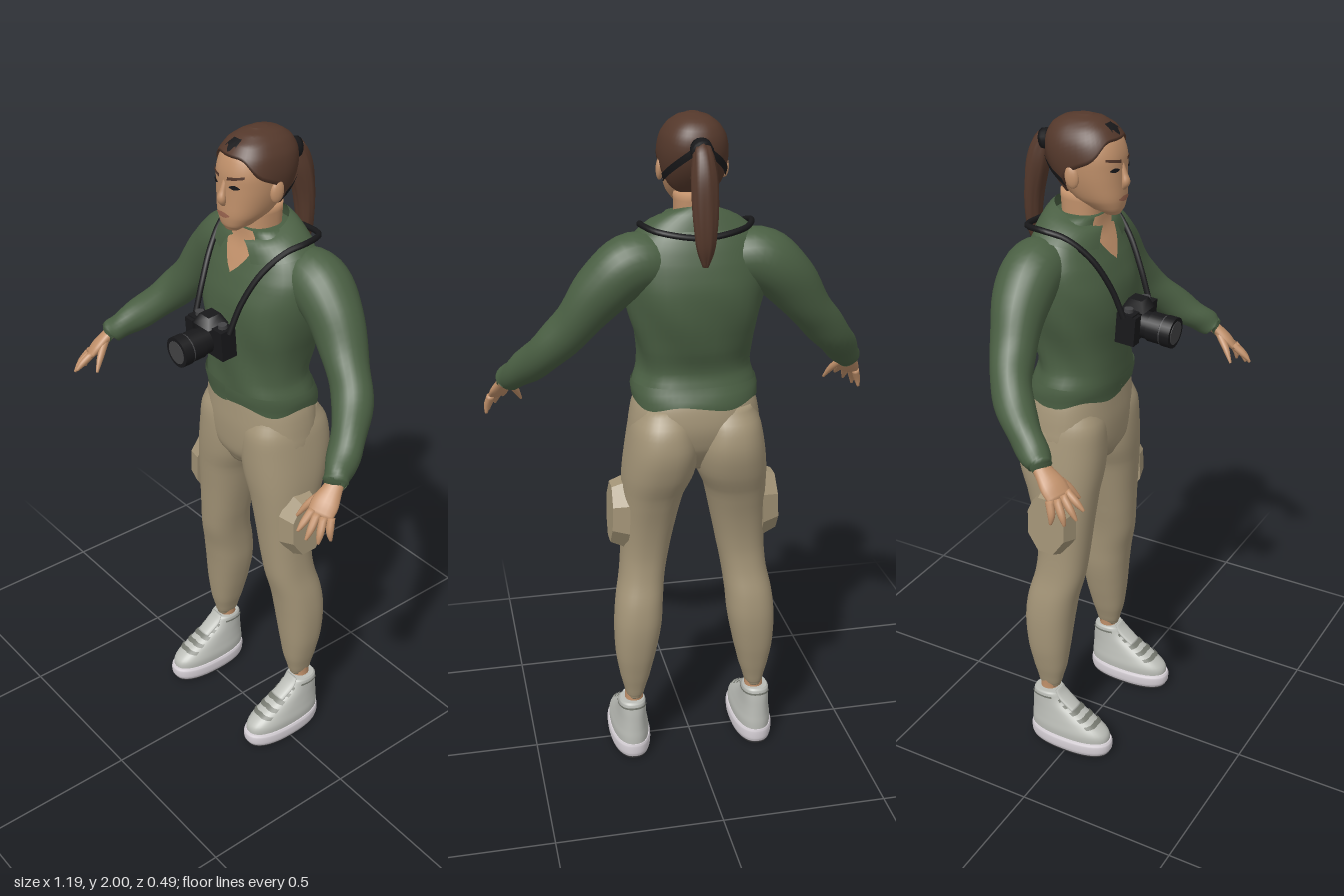
import * as THREE from 'three';

const mat = (name, color) => Object.assign(new THREE.MeshStandardMaterial({ color }), { name });
const M = {
  skin: mat('skin', 0xc0906a), hair: mat('brown hair', 0x54382b), shirt: mat('green shirt', 0x4a5f43),
  pants: mat('khaki', 0xa39477), shoe: mat('grey canvas', 0xbabcb6), sole: mat('pale rubber', 0xd8d2d8),
  lace: mat('lace grey', 0x75786f), black: mat('black', 0x18181a), dark: mat('dark grey', 0x434345),
  lips: mat('lips', 0x9d6650),
};
M.shirt.side = THREE.DoubleSide;

// Body profiles, listed upwards: [y, centre x, half width, front z, back z]
const HEAD = [[1.735, 0, .022, .052, .012], [1.75, 0, .043, .061, -.025], [1.78, 0, .066, .066, -.08],
  [1.82, 0, .08, .065, -.12], [1.86, 0, .088, .064, -.145], [1.9, 0, .09, .063, -.157],
  [1.94, 0, .082, .05, -.155], [1.97, 0, .062, .025, -.138], [1.988, 0, .036, -.008, -.108], [1.995, 0, .01, -.04, -.07]];
const NECK = [[1.62, 0, .06, .01, -.13], [1.7, 0, .055, -.005, -.12], [1.79, 0, .056, .0, -.125]];
const SHIRT = [[1.205, 0, .177, .055, -.205], [1.235, 0, .18, .06, -.19], [1.29, 0, .163, .06, -.176],
  [1.36, 0, .168, .062, -.195], [1.45, 0, .19, .07, -.214], [1.53, 0, .203, .065, -.218],
  [1.6, 0, .203, .042, -.205], [1.65, 0, .182, .02, -.19], [1.69, 0, .15, .002, -.172], [1.73, 0, .082, -.002, -.14]];
const PELVIS = [[.98, 0, .06, .03, -.13], [1.02, 0, .14, .05, -.16], [1.06, 0, .195, .056, -.185],
  [1.12, 0, .194, .058, -.2], [1.18, 0, .184, .054, -.195], [1.23, 0, .168, .05, -.18]];
const LEG = [[.205, .193, .022, -.05, -.115], [.22, .192, .029, -.045, -.12], [.28, .19, .045, -.03, -.135],
  [.36, .187, .061, -.02, -.152], [.46, .179, .072, -.01, -.162], [.54, .172, .072, .002, -.155],
  [.62, .16, .069, .02, -.136], [.7, .149, .073, .028, -.13], [.8, .138, .082, .036, -.145],
  [.9, .126, .092, .046, -.175], [.97, .11, .105, .054, -.206], [1.05, .1, .105, .057, -.224],
  [1.12, .098, .094, .053, -.214], [1.18, .09, .08, .03, -.18]];
const SHOE = [[.045, .2, .057, .132, -.142], [.075, .2, .058, .128, -.142], [.1, .2, .053, .098, -.14],
  [.13, .2, .047, .045, -.138], [.16, .2, .043, -.008, -.136], [.19, .2, .041, -.035, -.132], [.198, .2, .036, -.042, -.126]];
const SOLE = [[.008, .2, .059, .132, -.14], [.02, .2, .063, .139, -.144], [.045, .2, .064, .14, -.145], [.055, .2, .06, .135, -.143]];
const OUTSOLE = [[0, .2, .055, .128, -.136], [.009, .2, .06, .134, -.141]];

const mirrored = (keys, s) => keys.map(([y, x, ...r]) => [y, x * s, ...r]);

// Smoothly read a profile at height y
function profileAt(keys, y) {
  const last = keys.length - 1;
  let i = 0;
  while (i < last - 1 && y > keys[i + 1][0]) i++;
  const u = THREE.MathUtils.clamp((y - keys[i][0]) / (keys[i + 1][0] - keys[i][0]), 0, 1);
  const k = d => keys[THREE.MathUtils.clamp(i + d, 0, last)];
  return keys[i].map((b, n) => {
    const a = k(-1)[n], c = k(1)[n], d = k(2)[n];
    return b + .5 * u * (c - a + u * (2 * a - 5 * b + 4 * c - d + u * (3 * (b - c) + d - a)));
  });
}
const soft = v => Math.sign(v) * Math.abs(v) ** .86;
// Point on a profile body; angle 0 is the front, growing towards +x
function surf(keys, y, a, off = 0) {
  const [, cx, rx, zf, zb] = profileAt(keys, y);
  return [cx + (rx + off) * soft(Math.sin(a)), y, (zf + zb) / 2 + ((zf - zb) / 2 + off) * soft(Math.cos(a))];
}
// Skin a grid of points; closed rings wrap round and get end caps
function skin(grid, closed) {
  const n = grid[0].length, rows = grid.length, pos = grid.flat(2), idx = [];
  for (let i = 0; i < rows - 1; i++) for (let j = 0; j < (closed ? n : n - 1); j++) {
    const a = i * n + j, b = i * n + (j + 1) % n;
    idx.push(a, b, b + n, a, b + n, a + n);
  }
  if (closed) [0, rows - 1].forEach((r, top) => {
    const c = pos.length / 3;
    for (let k = 0; k < 3; k++) pos.push(grid[r].reduce((s, p) => s + p[k], 0) / n);
    for (let j = 0; j < n; j++) {
      const a = r * n + j, b = r * n + (j + 1) % n;
      idx.push(...(top ? [a, b, c] : [b, a, c]));
    }
  });
  const g = new THREE.BufferGeometry();
  g.setAttribute('position', new THREE.Float32BufferAttribute(pos, 3));
  g.setIndex(idx);
  g.computeVertexNormals();
  return g;
}
const steps = (n, f) => Array.from({ length: n + 1 }, (_, i) => f(i / n));
const ring = (n, f) => Array.from({ length: n }, (_, i) => f(i / n * Math.PI * 2));

// Upright body from a profile, with optional surface ripple
function column(keys, ripple = () => 0, sub = 4, n = 40) {
  const ys = keys.slice(1).flatMap((k, i) => ring(sub, a => keys[i][0] + (k[0] - keys[i][0]) * a / (Math.PI * 2)));
  ys.push(keys.at(-1)[0]);
  return skin(ys.map(y => ring(n, a => surf(keys, y, a, ripple(y, a)))), true);
}
// Thin plate lying on a profile body, between two edges given along t = 0..1
function patch(keys, a0, a1, lo, hi, off, nu = 8, nv = 3) {
  return skin(steps(nv, v => steps(nu, t => surf(keys, lo(t) + (hi(t) - lo(t)) * v, a0 + (a1 - a0) * t, off))), false);
}
// Tapering limb through points [x, y, z, radius across, radius along ref]
function limb(pts, ref = [0, 0, 1], seg = 20, n = 16, ripple = () => 0) {
  const curve = f => new THREE.CatmullRomCurve3(pts.map(f), false, 'catmullrom');
  const path = curve(p => new THREE.Vector3(p[0], p[1], p[2]));
  const size = curve(p => new THREE.Vector3(p[3], p[4] ?? p[3], 0));
  return skin(steps(seg, t => {
    const c = path.getPoint(t), r = size.getPoint(t), d = path.getTangent(t);
    const v = new THREE.Vector3(...ref).addScaledVector(d, -d.dot(new THREE.Vector3(...ref))).normalize();
    const u = d.clone().cross(v);
    return ring(n, a => c.clone().addScaledVector(u, (r.x + ripple(t, a)) * Math.sin(a))
      .addScaledVector(v, (r.y + ripple(t, a)) * Math.cos(a)).toArray());
  }), true);
}

export function createModel() {
  const model = new THREE.Group();
  const add = (name, geo, m, parent = model) => {
    const mesh = new THREE.Mesh(geo, m);
    mesh.name = name;
    parent.add(mesh);
    return mesh;
  };

  // Head, hair cap and ponytail
  add('head', column(HEAD), M.skin);
  add('neck', column(NECK), M.skin);
  const hairline = [[0, 0, 1.945], [.6, 0, 1.94], [1.1, 0, 1.895], [1.6, 0, 1.865], [2.2, 0, 1.805], [3.15, 0, 1.775]];
  const hairY = a => profileAt(hairline, a > Math.PI ? 2 * Math.PI - a : a)[2];
  add('hair', skin(steps(16, t => ring(48, a => {
    const h = hairY(a), p = surf(HEAD, h + (1.995 - h) * Math.sin(t * Math.PI / 2), a, .007);
    p[1] += .005 * t;
    return p;
  })), true), M.hair);
  add('hairParting', patch(HEAD, -.22, .22, t => 1.962 + .008 * Math.sin(t * 9), t => 1.982, .012), M.black);
  add('ponytail', limb([[0, 1.915, -.145, .022], [0, 1.91, -.185, .026], [0, 1.85, -.205, .036, .033],
    [0, 1.76, -.22, .036, .026], [0, 1.67, -.225, .026, .02], [0, 1.61, -.222, .006]],
    [0, .3, 1], 30, 24, (t, a) => .0025 * Math.sin(a * 8 + t * 6)), M.hair);
  add('hairTie', limb([[0, 1.918, -.155, .031], [0, 1.91, -.186, .031]], [0, 1, 0], 4), M.black);

  // Face
  add('nose', limb([[0, 1.885, .056, .006], [0, 1.85, .066, .009], [0, 1.828, .071, .013, .012], [0, 1.81, .062, .008]]), M.skin);
  add('mouth', patch(HEAD, -.34, .34, t => 1.783 - .008 * Math.sin(t * Math.PI), t => 1.784 + .007 * Math.sin(t * Math.PI), .003), M.lips);
  for (const s of [1, -1]) {
    const side = (lo, hi, a, b, off) => s > 0 ? patch(HEAD, a, b, lo, hi, off)
      : patch(HEAD, -b, -a, t => lo(1 - t), t => hi(1 - t), off);
    add('eyebrow', side(t => 1.884 + .01 * t, t => 1.893 + .008 * t, .14, .7, .003), M.hair);
    add('eye', side(t => 1.866 - .005 * Math.sin(t * Math.PI), t => 1.867 + .007 * Math.sin(t * Math.PI), .2, .58, .003), M.black);
    add('hairStrand', side(t => 1.815 + .08 * t, t => 1.84 + .08 * t, 1.9, 2.95, .011), M.black);
    const ear = add('ear', new THREE.SphereGeometry(1, 14, 10), M.skin);
    ear.scale.set(.011, .032, .02);
    ear.position.set(s * .091, 1.848, -.045);
    ear.rotation.set(-.15, s * -.25, 0);
  }

  // Shirt: body, ragged hem, neckline and folded collar
  const folds = (y, a) => y < 1.58 ? .0035 * Math.sin(a * 6 + y * 24) * Math.min(1, (1.58 - y) * 8) : 0;
  add('shirtBody', column(SHIRT, folds), M.shirt);
  add('shirtHem', patch(SHIRT, 0, Math.PI * 2, t => 1.2 + .009 * Math.sin(t * 31) - .008 * Math.sin(t * Math.PI),
    () => 1.25, .005, 60), M.shirt);
  add('neckline', patch(SHIRT, -.42, .42, t => 1.605 + .22 * Math.abs(t - .5), () => 1.728, .005, 12, 8), M.skin);
  add('collar', skin(steps(4, v => steps(40, t => {
    const a = .3 + t * (Math.PI * 2 - .6), back = (1 - Math.cos(a)) / 2;
    const low = surf(SHIRT, 1.64 + .058 * Math.sqrt(back), a, .009);
    const top = [.078 * Math.sin(a), 1.7 + .06 * back, -.063 + .08 * Math.cos(a)];
    return low.map((p, k) => p + (top[k] - p) * v + (k === 1 ? .012 * Math.sin(v * Math.PI) : 0));
  })), false), M.shirt);

  for (const s of [1, -1]) {
    const flip = pts => pts.map(([x, ...r]) => [x * s, ...r]);
    // Sleeve and hand
    add('sleeve', limb(flip([[.09, 1.6, -.1, .075], [.185, 1.6, -.112, .087], [.265, 1.535, -.108, .08], [.345, 1.432, -.085, .063],
      [.42, 1.345, -.045, .056], [.485, 1.268, .035, .047], [.523, 1.222, .098, .037], [.528, 1.215, .106, .03]]),
      [0, 0, 1], 40, 24, (t, a) => .003 * Math.sin(t * 34 + a * 2) * t), M.shirt);
    const hand = new THREE.Group();
    hand.name = 'hand';
    model.add(hand);
    const across = [s * .9, -.25, -.35];
    add('palm', limb(flip([[.522, 1.228, .09, .022, .026], [.533, 1.205, .118, .018, .027],
      [.542, 1.175, .152, .017, .038], [.549, 1.148, .178, .011, .036]]), across, 12), M.skin, hand);
    [[[.574, 1.148, .16], [.585, 1.115, .172], [.59, 1.088, .172]], [[.562, 1.15, .175], [.576, 1.115, .198], [.58, 1.088, .208]],
      [[.545, 1.155, .183], [.555, 1.125, .212], [.558, 1.1, .232]], [[.528, 1.16, .185], [.532, 1.137, .217], [.533, 1.118, .24]],
      [[.522, 1.195, .135], [.498, 1.158, .172], [.481, 1.12, .198]]]
      .forEach(([a, b, c], i) => add(i < 4 ? 'finger' : 'thumb',
        limb(flip([[...a, .012], [...b, .0105], [...c, .004]]), across, 8, 10), M.skin, hand));

    // Trouser leg with side pocket
    add('trouserLeg', column(mirrored(LEG, s)), M.pants);
    const pocket = new THREE.CylinderGeometry(.82, 1, 1, 8).toNonIndexed();
    pocket.rotateY(Math.PI / 8).rotateZ(-s * Math.PI / 2).scale(.05, .118, .081);
    pocket.computeVertexNormals();
    const pad = add('sidePocket', pocket, M.pants);
    pad.position.set(s * .228, .83, -.053);
    pad.rotation.z = s * .04;

    // Ankle and trainer
    add('ankle', limb([[s * .193, .24, -.083, .03], [s * .194, .2, -.085, .029], [s * .196, .15, -.085, .034]]), M.skin);
    const shoe = mirrored(SHOE, s);
    add('shoeUpper', column(shoe), M.shoe);
    add('shoeSole', column(mirrored(SOLE, s)), M.sole);
    add('outsole', column(mirrored(OUTSOLE, s)), M.dark);
    add('tongue', limb([[s * .2, .14, .015, .026, .01], [s * .2, .175, -.03, .028, .009], [s * .2, .2, -.048, .022, .006]]), M.shoe);
    for (const y of [.105, .122, .139, .156, .173])
      add('lace', patch(shoe, -.75, .75, t => y - .012 * Math.abs(t - .5), t => y + .008 - .012 * Math.abs(t - .5), .004), M.lace);
    add('heelSeam', patch(shoe, 1.1, 2 * Math.PI - 1.1, () => .178, () => .184, .003, 20), M.lace);
  }
  add('trouserSeat', column(PELVIS), M.pants);

  // Camera hanging from a neck strap
  const camera = new THREE.Group();
  camera.name = 'camera';
  camera.position.set(0, 1.43, .108);
  camera.rotation.x = .07;
  model.add(camera);
  const box = (name, w, h, d, x, y, z, m = M.black) =>
    add(name, new THREE.BoxGeometry(w, h, d), m, camera).position.set(x, y, z);
  const drum = (name, r, len, z, m = M.black) =>
    add(name, new THREE.CylinderGeometry(r, r, len, 28).rotateX(Math.PI / 2), m, camera).position.set(0, -.005, z);
  box('cameraBody', .152, .09, .05, 0, 0, 0);
  box('cameraGrip', .034, .085, .03, -.06, -.002, .02);
  box('cameraScreen', .09, .055, .004, 0, -.008, -.026, M.dark);
  const hump = add('viewfinder', new THREE.CylinderGeometry(.03, .05, .03, 4, 1).rotateY(Math.PI / 4), M.black, camera);
  hump.position.set(0, .056, .002);
  for (const x of [-.052, .052])
    add('cameraDial', new THREE.CylinderGeometry(.013, .013, .012, 16), M.dark, camera).position.set(x, .05, 0);
  drum('lensBase', .039, .035, .038);
  drum('lensBarrel', .043, .04, .07);
  drum('lensRing', .0425, .006, .092, M.dark);
  drum('lensHood', .045, .03, .11);
  drum('lensGlass', .034, .002, .1255, M.dark);

  const half = [[.077, 1.465, .108], [.088, 1.55, .075], [.112, 1.635, .025], [.142, 1.692, -.04], [.157, 1.708, -.1], [.12, 1.7, -.172]];
  const loop = [...half, [0, 1.685, -.2], ...half.map(([x, y, z]) => [-x, y, z]).reverse()].map(p => new THREE.Vector3(...p));
  add('neckStrap', new THREE.TubeGeometry(new THREE.CatmullRomCurve3(loop), 80, .0085, 8), M.black);
  return model;
}
